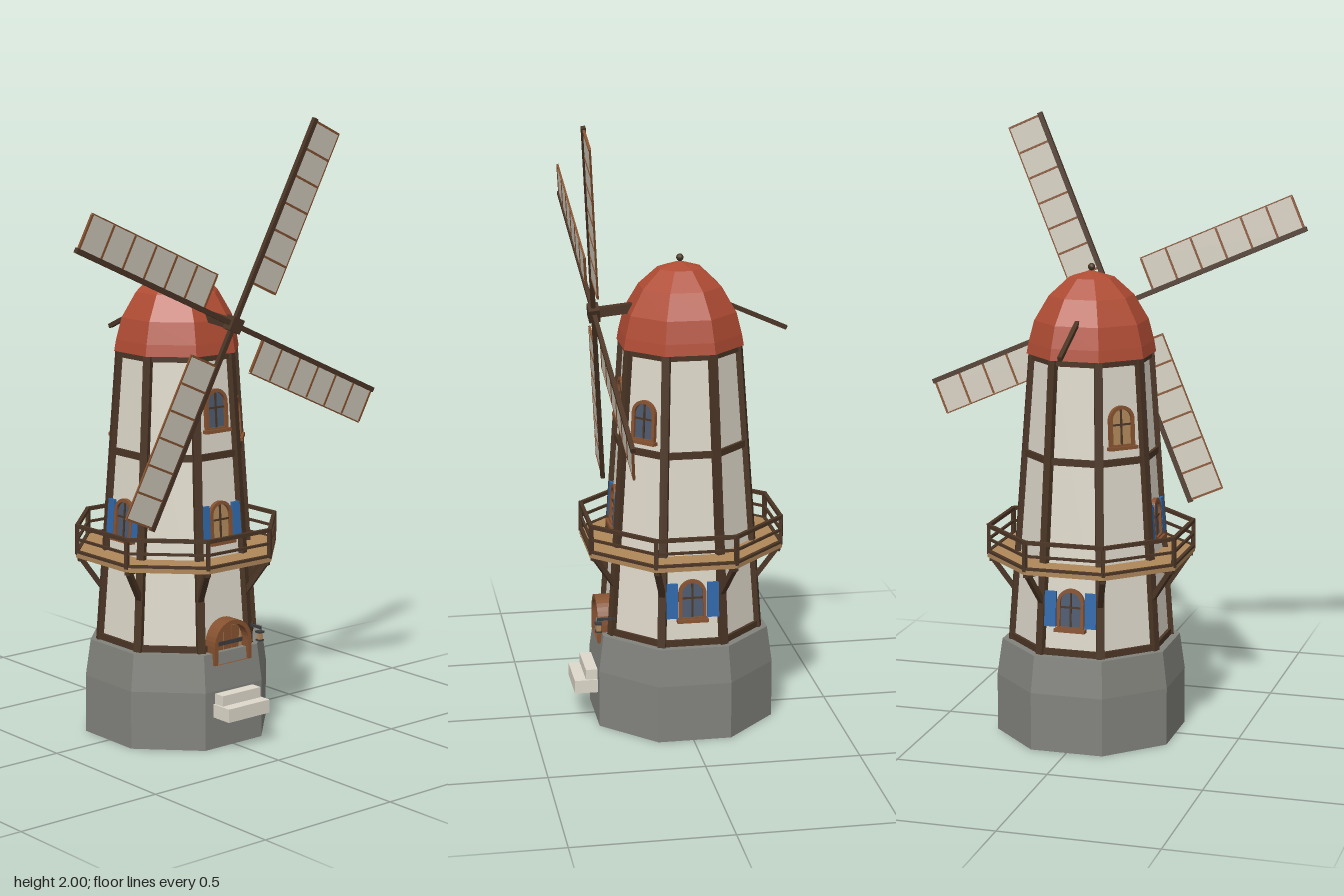
import * as THREE from 'three';

const material = (name, color) => {
  const m = new THREE.MeshStandardMaterial({ color });
  m.name = name;
  return m;
};
const stone = material('stone', 0x82827d);
const plaster = material('plaster', 0xded8ca);
const cloth = material('sailCloth', 0xcfc9bb);
const roofRed = material('roofTile', 0xb04c34);
const darkWood = material('darkWood', 0x4b3525);
const midWood = material('midWood', 0x865230);
const tanWood = material('tanWood', 0xb0885a);
const blue = material('shutterBlue', 0x2f68ab);
const glass = material('glass', 0x4c5a70);
const iron = material('iron', 0x3c3c3e);

const EIGHTH = Math.PI / 4;
const COS = Math.cos(EIGHTH / 2), TAN = Math.tan(EIGHTH / 2);
const SLOPE = 0.0684;
const wallAt = (y) => 0.24 - SLOPE * (y - 0.31); // distance of a wall face from the axis

function mesh(name, geometry, mat, x = 0, y = 0, z = 0) {
  const m = new THREE.Mesh(geometry, mat);
  m.name = name;
  m.position.set(x, y, z);
  return m;
}
const box = (name, mat, w, h, d, x, y, z) => mesh(name, new THREE.BoxGeometry(w, h, d), mat, x, y, z);

// Straight beam between two points
function beam(name, mat, a, b, w, d) {
  const from = new THREE.Vector3(...a), to = new THREE.Vector3(...b);
  const m = box(name, mat, w, d, from.distanceTo(to), 0, 0, 0);
  m.position.copy(from).add(to).multiplyScalar(0.5);
  m.lookAt(to);
  return m;
}

// Faceted eight-sided body from [face distance, height] pairs
function octagon(name, mat, profile) {
  const pts = profile.map(([r, y]) => new THREE.Vector2(r / COS, y));
  const g = new THREE.LatheGeometry(pts, 8, EIGHTH / 2).toNonIndexed();
  g.computeVertexNormals();
  return mesh(name, g, mat);
}

// Outline with a round top, its foot at y = y0
function arch(ShapeType, w, h, y0 = 0) {
  const r = w / 2, s = new ShapeType();
  s.moveTo(-r, y0);
  s.lineTo(r, y0);
  s.lineTo(r, h - r);
  s.absarc(0, h - r, r, 0, Math.PI, false);
  s.lineTo(-r, y0);
  return s;
}
function archFrame(name, w, h, t, depth, mat, foot = t) {
  const s = arch(THREE.Shape, w, h);
  s.holes.push(arch(THREE.Path, w - 2 * t, h - t, foot));
  return mesh(name, new THREE.ExtrudeGeometry(s, { depth, bevelEnabled: false, curveSegments: 8 }), mat);
}

// Group turned towards one of the eight directions (0 is the front)
function facing(name, step) {
  const g = new THREE.Group();
  g.name = name;
  g.rotation.y = step * EIGHTH;
  return g;
}

function makeWindow(step, y, paneMat, shutters) {
  const side = facing('windowSide', step);
  const win = new THREE.Group();
  win.name = 'window';
  win.position.set(0, y, wallAt(y));
  win.rotation.x = -Math.atan(SLOPE);
  const w = 0.09, h = 0.135;
  win.add(archFrame('windowFrame', w, h, 0.011, 0.014, midWood));
  const pane = new THREE.ExtrudeGeometry(arch(THREE.Shape, w - 0.02, h - 0.01, 0.01),
    { depth: 0.005, bevelEnabled: false, curveSegments: 8 });
  win.add(mesh('windowPane', pane, paneMat));
  win.add(box('mullion', darkWood, 0.006, h - 0.012, 0.006, 0, h / 2, 0.006));
  win.add(box('crossBar', darkWood, w - 0.015, 0.006, 0.006, 0, h * 0.55, 0.006));
  win.add(box('windowSill', midWood, w + 0.012, 0.011, 0.026, 0, 0, 0.01));
  if (shutters) {
    for (const s of [-1, 1]) {
      win.add(box('shutter', blue, 0.038, 0.115, 0.01, s * 0.067, 0.067, 0.009));
    }
  }
  side.add(win);
  return side;
}

function makeBlade(angle) {
  const blade = new THREE.Group();
  blade.name = 'sailBlade';
  blade.rotation.z = angle;
  const start = 0.14, end = 0.69, width = 0.118;
  blade.add(box('bladeSpar', darkWood, 0.016, 0.695, 0.014, 0, 0.3475, 0));
  blade.add(box('sailCloth', cloth, width, end - start, 0.004, width / 2, (start + end) / 2, 0));
  for (let i = 0; i <= 6; i++) {
    const y = start + 0.003 + (i / 6) * (end - start - 0.006);
    blade.add(box('sailRib', midWood, width - 0.006, 0.007, 0.008, width / 2, y, 0));
  }
  blade.add(box('sailEdge', midWood, 0.004, end - start, 0.006, width, (start + end) / 2, 0));
  return blade;
}

export function createModel() {
  const model = new THREE.Group();
  model.name = 'windmill';
  const tower = new THREE.Group();
  tower.name = 'tower';
  tower.position.z = -0.004;
  model.add(tower);

  // Main bodies
  tower.add(octagon('stoneBase', stone, [[0, 0], [0.288, 0], [0.288, 0.19], [0.272, 0.31], [0, 0.31]]));
  tower.add(octagon('plasterWalls', plaster, [[wallAt(0.3), 0.3], [wallAt(1.265), 1.265]]));
  tower.add(octagon('domeRoof', roofRed, [[0, 1.265], [0.194, 1.258], [0.188, 1.295], [0.171, 1.365],
    [0.127, 1.445], [0.068, 1.503], [0, 1.525]]));
  tower.add(octagon('balconyDeck', tanWood, [[0, 0.588], [0.316, 0.588], [0.316, 0.608], [0, 0.608]]));
  tower.add(mesh('finial', new THREE.SphereGeometry(0.012, 10, 8), darkWood, 0, 1.535, 0));

  for (let i = 0; i < 8; i++) {
    // Horizontal timbers and railings on each face
    const face = facing('faceTimbers', i);
    for (const y of [0.32, 0.935, 1.25]) {
      const r = wallAt(y);
      face.add(box('wallBeam', darkWood, 2 * r * TAN, 0.022, 0.018, 0, y, r));
    }
    const rail = 0.311, length = 2 * (rail + 0.005) * TAN;
    face.add(box('topRail', darkWood, length, 0.012, 0.012, 0, 0.692, rail));
    face.add(box('midRail', darkWood, length, 0.008, 0.008, 0, 0.648, rail));
    face.add(box('deckRim', darkWood, length, 0.008, 0.012, 0, 0.607, rail));
    tower.add(face);

    // Posts and braces on each corner
    const corner = facing('cornerTimbers', i + 0.5);
    const foot = wallAt(0.31) / COS, head = wallAt(1.26) / COS;
    corner.add(beam('cornerPost', darkWood, [0, 0.305, foot], [0, 1.262, head], 0.026, 0.026));
    corner.add(box('railPost', darkWood, 0.012, 0.1, 0.012, 0, 0.648, rail / COS));
    corner.add(beam('deckBrace', darkWood, [0, 0.48, 0.252], [0, 0.592, 0.33], 0.018, 0.016));
    corner.add(box('deckJoist', darkWood, 0.018, 0.014, 0.1, 0, 0.583, 0.285));
    tower.add(corner);
  }

  // Windows
  tower.add(makeWindow(0, 1.015, glass, false));
  tower.add(makeWindow(1, 0.97, glass, false));
  tower.add(makeWindow(5, 0.98, tanWood, false));
  tower.add(makeWindow(0, 0.655, tanWood, true));
  tower.add(makeWindow(6, 0.655, glass, true));
  tower.add(makeWindow(2, 0.395, glass, true));
  tower.add(makeWindow(4, 0.395, glass, true));

  // Door
  const door = new THREE.Group();
  door.name = 'door';
  door.position.set(0, 0.272, 0.232);
  door.add(archFrame('doorFrame', 0.156, 0.14, 0.014, 0.053, midWood, 0));
  door.add(mesh('doorLeaf', new THREE.ExtrudeGeometry(arch(THREE.Shape, 0.13, 0.127),
    { depth: 0.02, bevelEnabled: false, curveSegments: 8 }), tanWood));
  for (const x of [-0.033, 0, 0.033]) {
    door.add(box('doorBoard', midWood, 0.029, 0.1, 0.006, x, 0.063, 0.021));
  }
  door.add(box('doorHinge', iron, 0.12, 0.013, 0.006, 0, 0.06, 0.024));
  tower.add(door);

  // Lantern beside the door
  tower.add(box('lanternArm', iron, 0.008, 0.008, 0.06, 0.11, 0.368, 0.262));
  tower.add(box('lanternCap', iron, 0.022, 0.006, 0.022, 0.11, 0.354, 0.288));
  tower.add(box('lanternGlass', tanWood, 0.014, 0.024, 0.014, 0.11, 0.341, 0.288));
  tower.add(box('lanternFoot', iron, 0.02, 0.005, 0.02, 0.11, 0.327, 0.288));

  // Steps
  model.add(box('lowerStep', plaster, 0.172, 0.044, 0.09, 0, 0.127, 0.315));
  model.add(box('upperStep', plaster, 0.16, 0.036, 0.055, 0, 0.165, 0.295));

  // Tail pole
  tower.add(beam('tailPole', darkWood, [0, 1.385, -0.14], [0, 1.292, -0.35], 0.014, 0.014));

  // Rotor
  const rotor = new THREE.Group();
  rotor.name = 'rotor';
  rotor.position.set(0, 1.365, 0.275);
  rotor.rotation.x = 0.1;
  rotor.add(box('axle', darkWood, 0.03, 0.03, 0.2, 0, 0, -0.1));
  const hub = box('hub', darkWood, 0.046, 0.046, 0.036, 0, 0, 0);
  hub.rotation.z = -0.415;
  rotor.add(hub);
  for (let i = 0; i < 4; i++) rotor.add(makeBlade(-0.415 + i * Math.PI / 2));
  model.add(rotor);

  return model;
}
